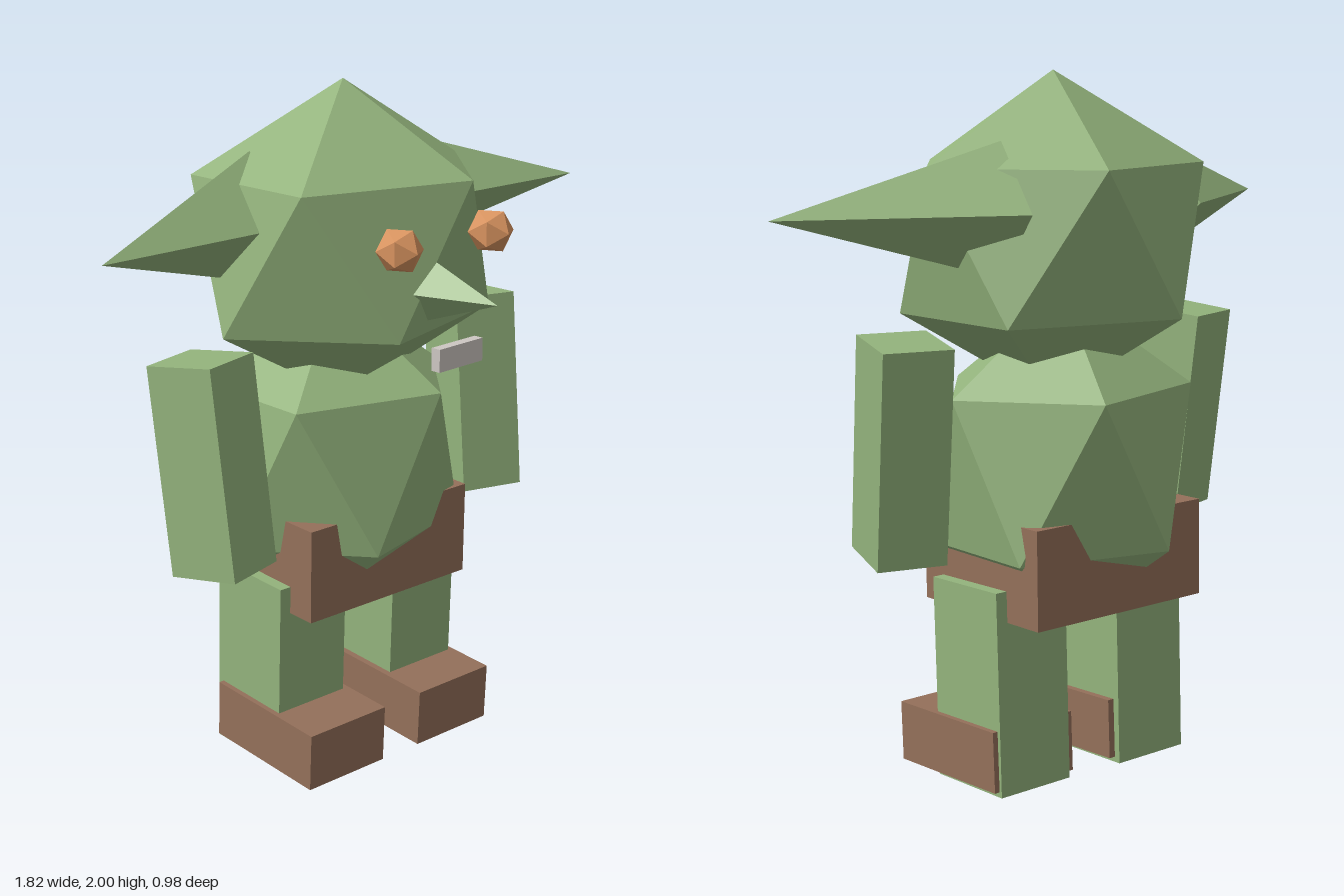
import * as THREE from 'three';
import { ConvexGeometry } from 'three/addons/geometries/ConvexGeometry.js';

function makeMaterial(name, color) {
  const material = new THREE.MeshStandardMaterial({ color });
  material.name = name;
  return material;
}

// Twenty-sided ball with a corner at the top and bottom
function facetedBall(rx, ry, rz, turn = 0) {
  const points = [new THREE.Vector3(0, ry, 0), new THREE.Vector3(0, -ry, 0)];
  const ring = 2 / Math.sqrt(5), level = 1 / Math.sqrt(5);
  for (let i = 0; i < 10; i++) {
    const a = turn + i * Math.PI / 5;
    const y = i % 2 === 0 ? level : -level;
    points.push(new THREE.Vector3(rx * ring * Math.cos(a), ry * y, rz * ring * Math.sin(a)));
  }
  return new ConvexGeometry(points);
}

export function createModel() {
  const model = new THREE.Group();
  model.name = 'goblin';
  const skin = makeMaterial('green skin', 0x93b37c);
  const leather = makeMaterial('brown leather', 0x94705a);
  const amber = makeMaterial('amber eyes', 0xd8935f);
  const ivory = makeMaterial('pale tooth', 0xcdc7c2);

  function add(name, geometry, material, position, pitch = 0, yaw = 0) {
    const mesh = new THREE.Mesh(geometry, material);
    mesh.name = name;
    mesh.position.set(...position);
    mesh.rotation.set(pitch, yaw, 0, 'YXZ');
    model.add(mesh);
    return mesh;
  }
  const box = (name, size, material, position, pitch, yaw) =>
    add(name, new THREE.BoxGeometry(...size), material, position, pitch, yaw);

  // Four-sided spike from the centre of its base to its tip
  function spike(name, base, tip, radius) {
    const from = new THREE.Vector3(...base), to = new THREE.Vector3(...tip);
    const length = from.distanceTo(to);
    const geometry = new THREE.ConeGeometry(radius, length, 4)
      .rotateX(Math.PI / 2).translate(0, 0, length / 2).toNonIndexed();
    geometry.computeVertexNormals();
    add(name, geometry, skin, base).lookAt(to);
  }

  // Head and torso
  add('head', facetedBall(0.505, 0.465, 0.44, -0.025), skin, [0, 1.54, -0.115]);
  add('torso', facetedBall(0.44, 0.495, 0.38), skin, [0, 0.9, -0.155]);

  // Ears and nose
  spike('leftEar', [0.27, 1.635, -0.22], [0.91, 1.63, -0.07], 0.185);
  spike('rightEar', [-0.27, 1.635, -0.2], [-0.91, 1.63, 0], 0.185);
  spike('nose', [0.01, 1.46, 0.2], [0.015, 1.46, 0.49], 0.1);

  // Eyes and tooth
  const eye = facetedBall(0.066, 0.07, 0.066).rotateX(Math.PI / 2);
  add('leftEye', eye, amber, [0.19, 1.607, 0.288]);
  add('rightEye', eye, amber, [-0.168, 1.607, 0.302]);
  box('tooth', [0.175, 0.065, 0.03], ivory, [0.01, 1.297, 0.345], 0, 0.06);

  // Loincloth, with the belly bulging through it
  box('loincloth', [0.61, 0.28, 0.5], leather, [0, 0.645, -0.163], 0.02);

  // Arms, legs and shoes
  for (const side of [1, -1]) {
    const label = side > 0 ? 'left' : 'right';
    const armZ = side > 0 ? -0.115 : -0.06;
    box(label + 'Arm', [0.2, 0.605, 0.215], skin, [side * 0.533, 0.995, armZ], -0.11, side * -0.28);
    box(label + 'Leg', [0.25, 0.585, 0.285], skin, [side * 0.217, 0.298, side > 0 ? -0.15 : -0.16], 0.04);
    box(label + 'Shoe', [0.287, 0.175, 0.43], leather, [side * 0.215, 0.103, -0.075], 0.05);
  }
  return model;
}
